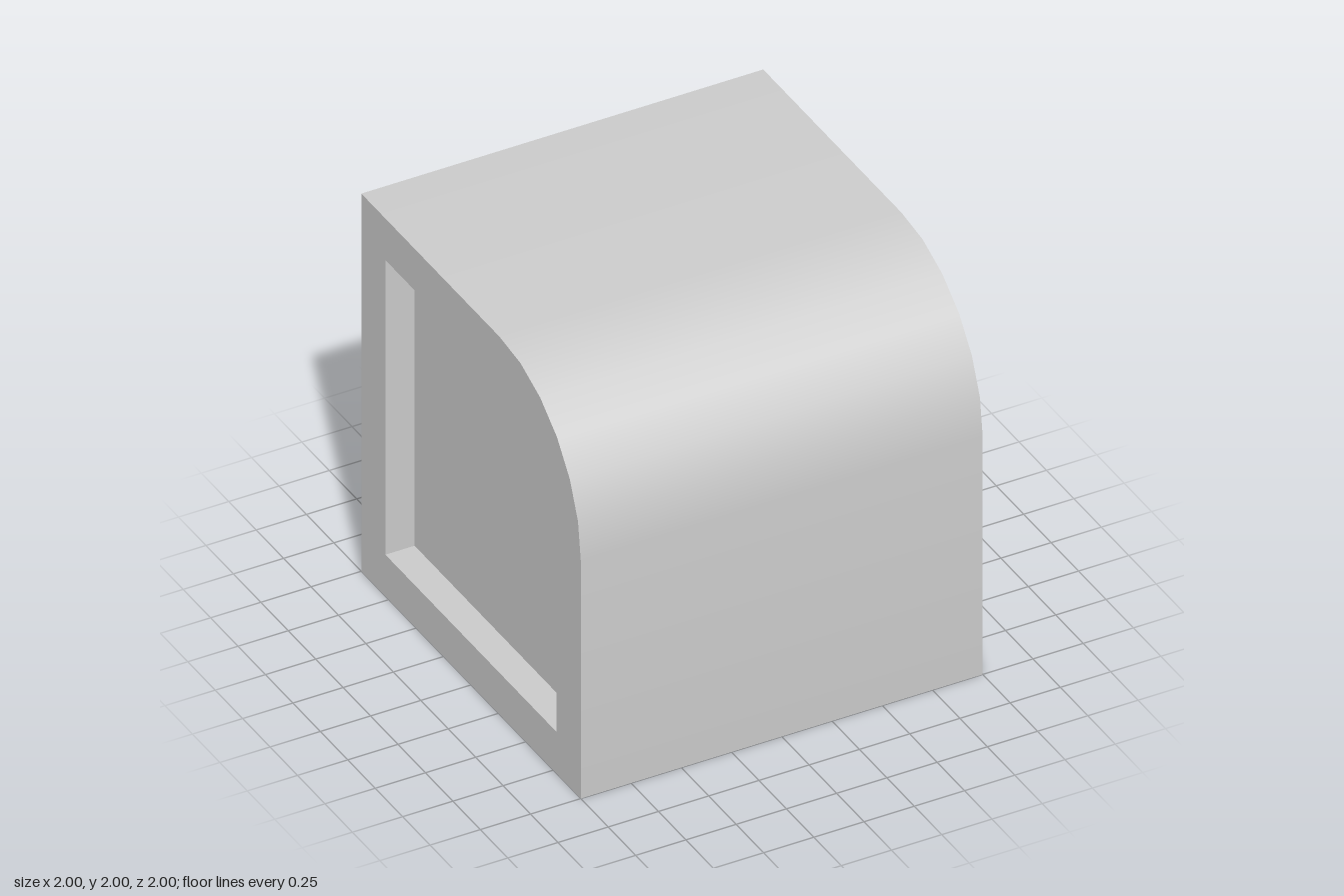
import * as THREE from 'three';

const C_Z = 0.26, C_Y = 1.26;     // centre shared by both rounded corners
const OUTER = 0.74, INNER = 0.52; // corner radii
const RIM = 0.22;                 // frame width, also the depth of the left recess
const SHALLOW = 0.145;            // depth of the back and right recesses
const LEAN = Math.PI / 48;        // blends the corner shading into the flats

// Side outline (shape x = model z) with a rounded upper front corner
function outline(Type, radius, inset, notch = 0) {
  const s = new Type();
  const lo = inset, hi = C_Y + radius, back = -1 + inset;
  s.moveTo(back, lo);
  s.lineTo(C_Z + radius, lo);
  s.lineTo(C_Z + radius, C_Y);
  s.absarc(C_Z, C_Y, radius, 0, Math.PI / 2, false);
  s.lineTo(back, hi);
  if (notch) {
    // Recess in the back face
    s.lineTo(back, 2 - RIM);
    s.lineTo(back + notch, 2 - RIM);
    s.lineTo(back + notch, RIM);
    s.lineTo(back, RIM);
  }
  s.closePath();
  return s;
}

// Extrude an outline along x and smooth the rounded corners
function slab(shape, x0, x1) {
  const g = new THREE.ExtrudeGeometry(shape, { depth: x1 - x0, bevelEnabled: false, curveSegments: 3 });
  g.rotateY(-Math.PI / 2).translate(x1, 0, 0);
  const p = g.attributes.position, n = g.attributes.normal;
  for (let i = 0; i < p.count; i++) {
    const dz = p.getZ(i) - C_Z, dy = p.getY(i) - C_Y, r = Math.hypot(dz, dy);
    const onArc = dz > -1e-4 && dy > -1e-4 && (Math.abs(r - OUTER) < 1e-3 || Math.abs(r - INNER) < 1e-3);
    if (!onArc || Math.abs(n.getX(i)) > 0.5) continue;
    const sign = n.getZ(i) * dz + n.getY(i) * dy < 0 ? -1 : 1;
    const a = THREE.MathUtils.clamp(Math.atan2(dy, dz), LEAN, Math.PI / 2 - LEAN);
    n.setXYZ(i, 0, sign * Math.sin(a), sign * Math.cos(a));
  }
  return g;
}

export function createModel() {
  const group = new THREE.Group();
  const material = new THREE.MeshStandardMaterial({ color: 0xcccccc });
  const add = (name, geometry) => {
    const mesh = new THREE.Mesh(geometry, material);
    mesh.name = name;
    group.add(mesh);
  };

  // Central body with the back recess; its left end is the sunken left panel
  add('body', slab(outline(THREE.Shape, OUTER, 0, SHALLOW), -1 + RIM, 1 - RIM));

  // Solid slice behind the shallower right recess
  add('rightPanel', slab(outline(THREE.Shape, OUTER, 0), -1 + SHALLOW, -1 + RIM));

  // Raised frames around the side panels
  const frame = outline(THREE.Shape, OUTER, 0);
  frame.holes.push(outline(THREE.Path, INNER, RIM));
  add('leftFrame', slab(frame, 1 - RIM, 1));
  add('rightFrame', slab(frame, -1, -1 + SHALLOW));

  return group;
}
